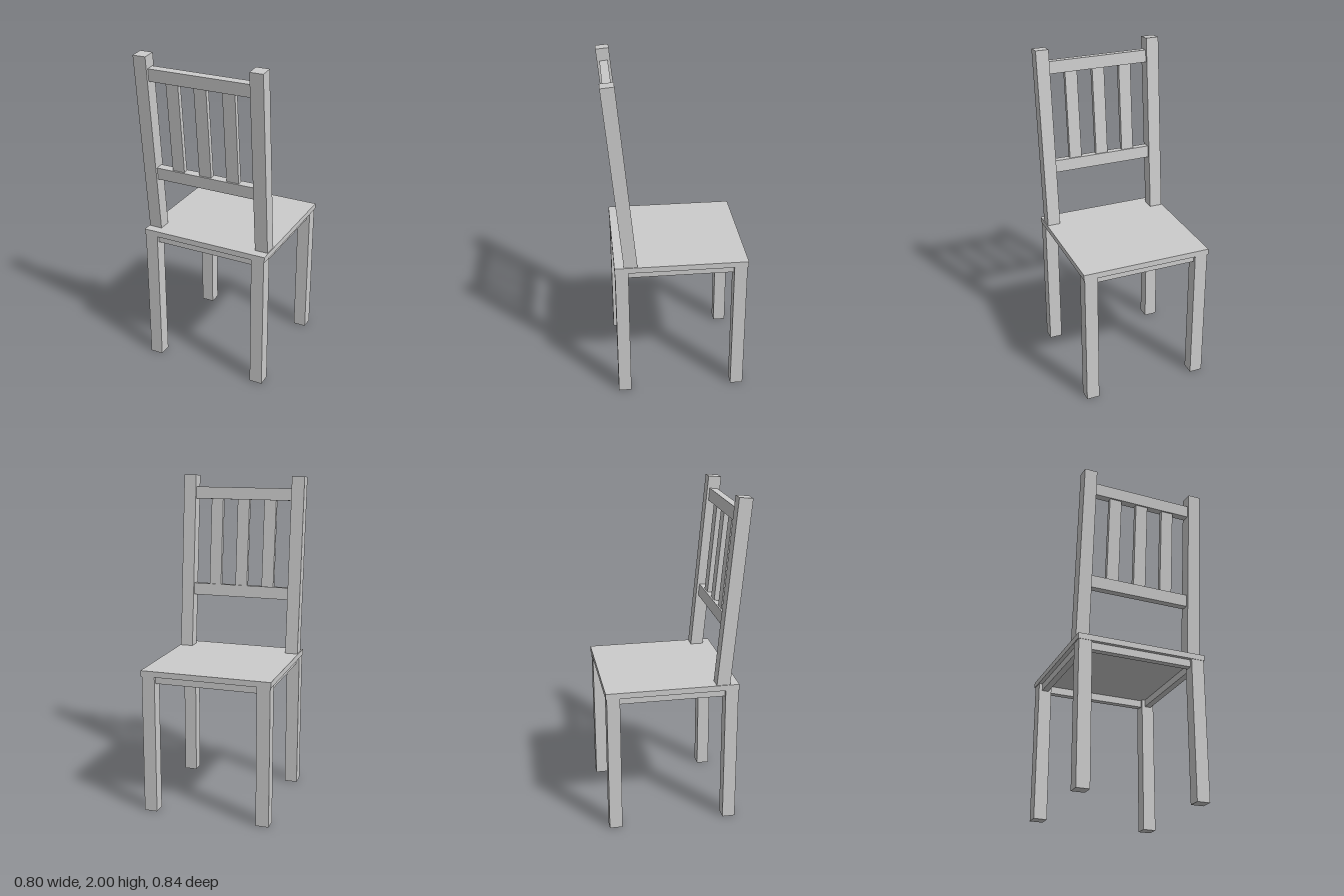
import * as THREE from 'three';

const material = new THREE.MeshStandardMaterial({ color: 0xcccccc, flatShading: true });

function addBox(parent, name, [w, h, d], [x, y, z]) {
  const mesh = new THREE.Mesh(new THREE.BoxGeometry(w, h, d), material);
  mesh.name = name;
  mesh.position.set(x, y, z);
  parent.add(mesh);
}

export function createModel() {
  const chair = new THREE.Group();
  chair.name = 'chair';

  const legX = 0.355, backZ = 0.333, frontZ = -0.375;
  const midZ = (backZ + frontZ) / 2;

  // Seat board
  addBox(chair, 'seat', [0.8, 0.035, 0.795], [0, 0.8775, -0.0225]);

  // Legs and the apron rails between them
  for (const z of [frontZ, backZ]) {
    for (const side of [-1, 1]) addBox(chair, 'leg', [0.08, 0.86, 0.078], [side * legX, 0.43, z]);
    addBox(chair, 'crossApron', [0.63, 0.045, 0.04], [0, 0.8375, z]);
  }
  for (const side of [-1, 1]) {
    addBox(chair, 'sideApron', [0.04, 0.045, backZ - frontZ - 0.078], [side * legX, 0.8375, midZ]);
  }

  // Leaning backrest, modelled upright and tilted as a whole
  const back = new THREE.Group();
  back.name = 'backrest';
  back.position.set(0, 0.87, 0.277);
  back.rotation.x = THREE.MathUtils.degToRad(5.22);
  chair.add(back);

  const postLength = 1.131, railHeight = 0.075, lowRail = 0.399, topRail = 1.019;
  for (const side of [-1, 1]) {
    addBox(back, 'backPost', [0.08, postLength, 0.08], [side * legX, postLength / 2, 0]);
  }
  for (const y of [lowRail, topRail]) addBox(back, 'backRail', [0.63, railHeight, 0.05], [0, y, 0]);

  // Upright slats between the rails
  for (const x of [-0.175, 0, 0.175]) {
    addBox(back, 'slat', [0.077, topRail - lowRail - railHeight, 0.03], [x, (lowRail + topRail) / 2, 0]);
  }

  return chair;
}
